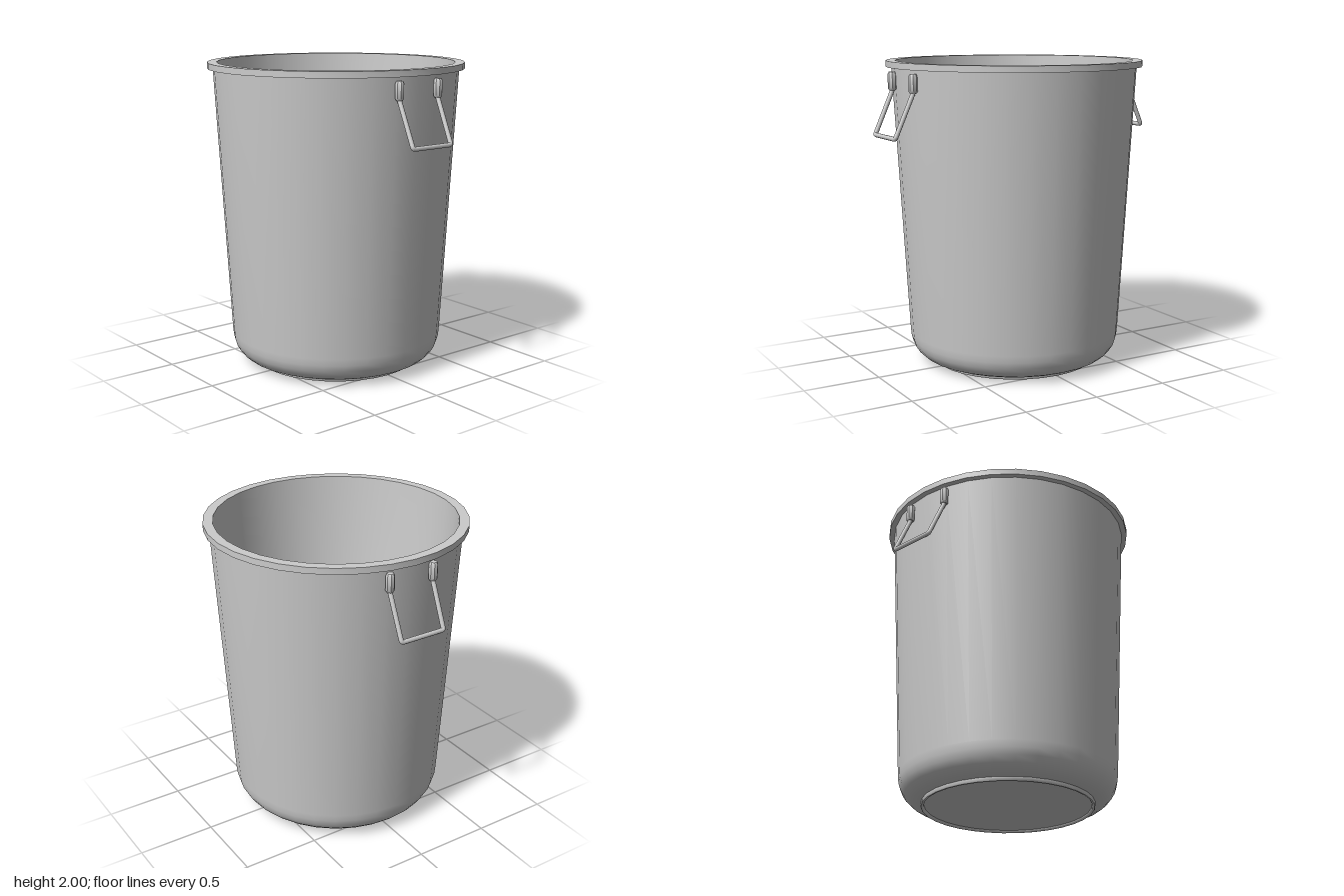
import * as THREE from 'three';
import { toCreasedNormals } from 'three/addons/utils/BufferGeometryUtils.js';

const material = new THREE.MeshStandardMaterial({ color: 0xcccccc });

// Revolve an [radius, y] profile, keeping its hard corners sharp
function lathe(name, profile, sides) {
  const points = profile.map(([r, y]) => new THREE.Vector2(r, y));
  const mesh = new THREE.Mesh(toCreasedNormals(new THREE.LatheGeometry(points, sides), 0.7), material);
  mesh.name = name;
  return mesh;
}

// Wire loop: two sloping legs and a bottom bar, with small rounded corners
function handleLoop() {
  const corners = [
    [-0.155, 1.86, 0.795], [-0.155, 1.82, 0.798], [-0.153, 1.545, 0.922],
    [0.153, 1.545, 0.922], [0.155, 1.82, 0.798], [0.155, 1.86, 0.795],
  ].map((p) => new THREE.Vector3(...p));
  const path = new THREE.CurvePath();
  let start = corners[0];
  for (let i = 1; i < corners.length - 1; i++) {
    const c = corners[i];
    const toward = (p) => c.clone().add(p.clone().sub(c).setLength(0.016));
    const a = toward(corners[i - 1]);
    const b = toward(corners[i + 1]);
    path.add(new THREE.LineCurve3(start, a));
    path.add(new THREE.QuadraticBezierCurve3(a, c, b));
    start = b;
  }
  path.add(new THREE.LineCurve3(start, corners[corners.length - 1]));
  const mesh = new THREE.Mesh(new THREE.TubeGeometry(path, 160, 0.0145, 10), material);
  mesh.name = 'handleLoop';
  return mesh;
}

function createHandle(name) {
  const handle = new THREE.Group();
  handle.name = name;
  handle.add(handleLoop());
  // Chamfered sockets that hold the wire ends
  for (const side of [-1, 1]) {
    const socket = lathe('handleSocket', [
      [0, 1.82], [0.021, 1.82], [0.028, 1.832], [0.028, 1.922], [0.021, 1.936], [0, 1.936],
    ], 8);
    socket.rotation.y = Math.PI / 8;
    socket.position.set(side * 0.155, 0, 0.798);
    handle.add(socket);
  }
  return handle;
}

export function createModel() {
  const model = new THREE.Group();
  model.name = 'bin';

  // Foot ring and recessed underside, outer wall, rim, inner wall, floor
  model.add(lathe('binBody', [
    [0, 0.02], [0.53, 0.02], [0.533, 0.009], [0.538, 0.005], [0.547, 0.005], [0.551, 0.01], [0.551, 0.03],
    [0.59, 0.034], [0.625, 0.05], [0.658, 0.08], [0.682, 0.118], [0.695, 0.16], [0.7, 0.205],
    [0.798, 1.96], [0.834, 1.96], [0.834, 2], [0.772, 2],
    [0.673, 0.215], [0.664, 0.165], [0.643, 0.12], [0.61, 0.085], [0.57, 0.065], [0.52, 0.058], [0, 0.058],
  ], 32));

  const front = createHandle('frontHandle');
  const back = createHandle('backHandle');
  back.rotation.y = Math.PI;
  model.add(front, back);
  return model;
}
